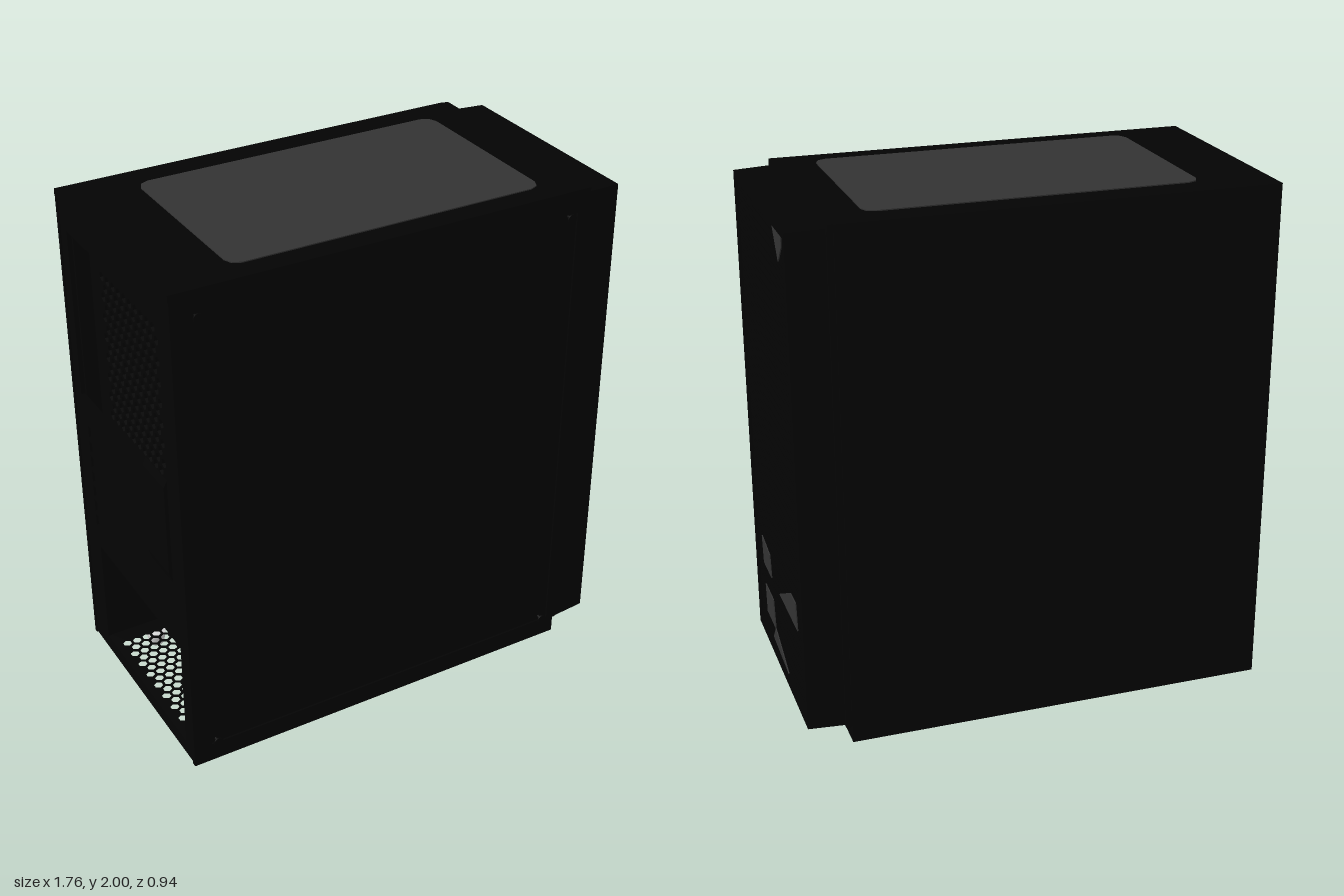
import * as THREE from 'three';
import { mergeGeometries } from 'three/addons/utils/BufferGeometryUtils.js';

const paint = (name, color) => {
  const m = new THREE.MeshStandardMaterial({ color });
  m.name = name;
  return m;
};

// Closed outline from [x, y] corner points
const outline = (pts, Kind = THREE.Shape) => new Kind(pts.map(([x, y]) => new THREE.Vector2(x, y)));
const rect = (x0, x1, y0, y1) => [[x0, y0], [x1, y0], [x1, y1], [x0, y1]];

// Staggered six-sided holes filling a rectangle
function hexHoles(x0, x1, y0, y1, pitch, r) {
  const holes = [];
  for (let row = 0, y = y0 + r; y <= y1 - r; row++, y += pitch * 0.87) {
    for (let x = x0 + r + (row % 2) * pitch / 2; x <= x1 - r; x += pitch) {
      const pts = [];
      for (let k = 0; k < 6; k++) {
        const a = (k + 0.5) * Math.PI / 3;
        pts.push([x + r * Math.cos(a), y + r * Math.sin(a)]);
      }
      holes.push(pts);
    }
  }
  return holes;
}

function sheet(outer, holes, depth) {
  const shape = outline(outer);
  shape.holes = holes.map((h) => outline(h, THREE.Path));
  return new THREE.ExtrudeGeometry(shape, { depth, bevelEnabled: false });
}

export function createModel() {
  const black = paint('black steel', 0x030303);
  const glassBlack = paint('dark glass', 0x020202);
  const grey = paint('filter grey', 0x333333);
  const silver = paint('silver feet', 0xd8d8d8);

  const model = new THREE.Group();
  model.name = 'computerCase';
  const add = (name, geo, mat) => {
    const mesh = new THREE.Mesh(geo, mat);
    mesh.name = name;
    model.add(mesh);
    return mesh;
  };
  const box = (name, mat, x0, x1, y0, y1, z0, z1) => {
    const mesh = add(name, new THREE.BoxGeometry(x1 - x0, y1 - y0, z1 - z0), mat);
    mesh.position.set((x0 + x1) / 2, (y0 + y1) / 2, (z0 + z1) / 2);
    return mesh;
  };
  // Sheet drawn in (z, y), its thickness running from x towards -x
  const uprightSheet = (name, mat, x, outer, holes, depth) => {
    const mesh = add(name, sheet(outer, holes, depth), mat);
    mesh.rotation.y = -Math.PI / 2;
    mesh.position.x = x;
    return mesh;
  };

  // Shell panels
  box('sidePanel', black, -0.872, 0.725, 0.055, 1.996, -0.47, -0.455);
  box('topPanel', black, -0.875, 0.745, 1.97, 1.996, -0.465, 0.45);
  box('frontBulkhead', black, 0.70, 0.745, 0.11, 1.975, -0.455, 0.44);
  box('frontSill', black, 0.68, 0.725, 0.055, 0.12, -0.455, 0.44);

  // Glass side with its frame
  add('glassFrame', sheet(rect(-0.872, 0.725, 0.055, 1.97),
    [rect(-0.80, 0.695, 0.13, 1.91)], 0.02), black).position.z = 0.43;
  box('glassPanel', glassBlack, -0.80, 0.695, 0.13, 1.91, 0.433, 0.443);

  // Thumb screws at the glass corners
  for (const x of [-0.78, 0.66]) {
    for (const y of [0.145, 1.9]) {
      const stem = add('screwStem', new THREE.CylinderGeometry(0.007, 0.007, 0.028, 10), black);
      const cap = add('screwCap', new THREE.CylinderGeometry(0.018, 0.018, 0.005, 16), black);
      stem.position.set(x, y, 0.454);
      cap.position.set(x, y, 0.466);
      stem.rotation.x = cap.rotation.x = Math.PI / 2;
    }
  }

  // Rounded dust filter on top
  const w = 0.605, d = 0.362, c = 0.045;
  const filter = add('topFilter', sheet([[-w + c, -d], [w - c, -d], [w - c * 0.3, -d + c * 0.3],
    [w, -d + c], [w, d - c], [w - c * 0.3, d - c * 0.3], [w - c, d], [-w + c, d],
    [-w + c * 0.3, d - c * 0.3], [-w, d - c], [-w, -d + c], [-w + c * 0.3, -d + c * 0.3]],
    [], 0.006), grey);
  filter.rotation.x = Math.PI / 2;
  filter.position.set(-0.008, 2, 0.002);

  // Perforated floor
  const floor = add('floor', sheet(rect(-0.87, 0.7, -0.455, 0.43), [
    ...hexHoles(-0.82, -0.25, -0.33, 0.22, 0.042, 0.019),
    ...hexHoles(-0.1, 0.5, -0.27, 0.27, 0.04, 0.013),
  ], 0.004), black);
  floor.rotation.x = Math.PI / 2;
  floor.position.y = 0.068;

  // Inner tray and power supply cover
  box('innerTray', black, -0.85, 0.7, 0.07, 1.97, -0.40, -0.39);
  box('supplyCover', black, -0.85, 0.7, 0.575, 0.585, -0.39, 0.43);

  // Rear wall: supply opening, port opening, fan grille and card slots
  const slots = [];
  for (let i = 0; i < 7; i++) slots.push(rect(-0.36, 0.12, 0.64 + i * 0.066, 0.69 + i * 0.066));
  uprightSheet('rearWall', black, -0.852, rect(-0.455, 0.43, 0.055, 1.97), [
    rect(-0.34, 0.37, 0.11, 0.55),
    rect(-0.40, -0.2, 1.2, 1.86),
    ...slots,
    ...hexHoles(-0.12, 0.35, 1.25, 1.84, 0.045, 0.018),
  ], 0.015);
  for (let i = 0; i < 7; i++) {
    const y = 0.64 + i * 0.066;
    box('slotCover', black, -0.86, -0.853, y + 0.006, y + 0.044, -0.355, 0.115);
  }
  // Slot bracket with sloped ends
  add('slotBracket', sheet([[-0.866, 0.82], [-0.866, 1.25], [-0.88, 1.22], [-0.88, 0.86]],
    [], 0.17), black).position.z = 0.17;

  // Front panel: deep frame narrowing slightly towards its face
  const frame = uprightSheet('frontFrame', black, 0.88, rect(-0.434, 0.437, 0.11, 1.974),
    [rect(-0.40, 0.415, 0.145, 1.95)], 0.135);
  const p = frame.geometry.attributes.position;
  for (let i = 0; i < p.count; i++) {
    if (p.getZ(i) < 0.01) p.setXY(i, p.getX(i) * 0.982, 1.042 + (p.getY(i) - 1.042) * 0.995);
  }
  frame.geometry.computeVertexNormals();

  // Grey filter with a fine grille over it
  box('frontFilter', grey, 0.863, 0.868, 0.145, 1.95, -0.40, 0.415);
  const bars = [];
  const pitch = 0.017, width = 0.012;
  for (let z = -0.395; z < 0.415; z += pitch) {
    bars.push(new THREE.BoxGeometry(0.002, 1.805, width).translate(0.8695, 1.0475, z));
  }
  for (let y = 0.15; y < 1.95; y += pitch) {
    bars.push(new THREE.BoxGeometry(0.002, width, 0.815).translate(0.87, y, 0.0075));
  }
  add('frontGrille', mergeGeometries(bars), black);

  // Bare filter patches on the grille, as [z, y] corners
  const patches = [
    [[0.31, 0.55], [0.17, 0.53], [0.155, 0.44], [0.295, 0.44]],
    [[0.285, 0.35], [0.145, 0.35], [0.125, 0.235], [0.275, 0.235]],
    [[0.01, 0.445], [-0.2, 0.555], [-0.285, 0.555], [-0.3, 0.45]],
    [[0.125, 0.235], [0.175, 0.175], [-0.09, 0.155]],
    [[-0.21, 1.945], [-0.35, 1.945], [-0.35, 1.90], [-0.29, 1.835]],
  ];
  for (const corners of patches) uprightSheet('filterPatch', grey, 0.876, corners, [], 0.004);

  // Tapered feet
  const footProfile = [[0, 0], [0.027, 0], [0.031, 0.006], [0.038, 0.045], [0.038, 0.056], [0, 0.056]]
    .map(([x, y]) => new THREE.Vector2(x, y));
  for (const x of [-0.663, 0.61]) {
    for (const z of [-0.342, 0.348]) {
      add('foot', new THREE.LatheGeometry(footProfile, 16), silver).position.set(x, 0, z);
    }
  }
  return model;
}
